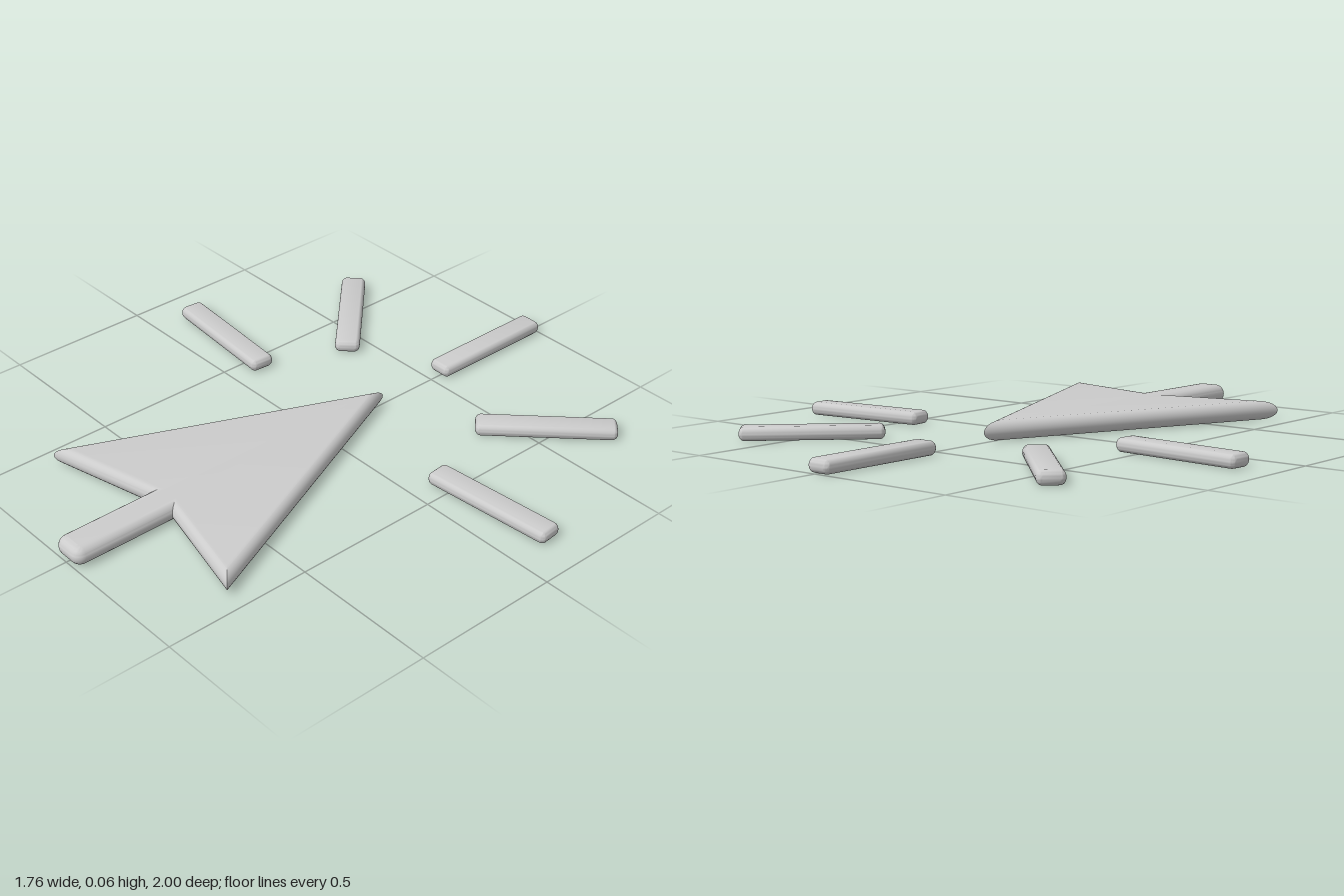
import * as THREE from 'three';
import { mergeVertices, toCreasedNormals } from 'three/addons/utils/BufferGeometryUtils.js';

const STEPS = 12;

// Flat slab from a counter-clockwise outline (x, -z), with rounded, fully mitred edges.
function roundedSlab(shape, height, inset) {
  const raw = shape.getPoints(3);
  const pts = raw.filter((p, i) => p.distanceTo(raw[(i + 1) % raw.length]) > 1e-5);
  const n = pts.length;

  // Inward mitre vector at each corner
  const mitre = pts.map((p, i) => {
    const a = p.clone().sub(pts[(i + n - 1) % n]).normalize();
    const b = pts[(i + 1) % n].clone().sub(p).normalize();
    const sum = new THREE.Vector2(-a.y - b.y, a.x + b.x);
    return sum.divideScalar(1 + a.dot(b));
  });

  // Rings follow a half-ellipse from bottom to top
  const positions = [], index = [];
  let cap = [];
  for (let k = 0; k <= STEPS; k++) {
    const t = (k / STEPS - 0.5) * Math.PI;
    const d = inset * (1 - Math.cos(t));
    const y = (height / 2) * (1 + Math.sin(t));
    cap = pts.map((p, i) => p.clone().addScaledVector(mitre[i], d));
    cap.forEach((p) => positions.push(p.x, y, -p.y));
    if (k === STEPS) break;
    for (let i = 0; i < n; i++) {
      const a = k * n + i, b = k * n + ((i + 1) % n);
      index.push(a, b, b + n, a, b + n, a + n);
    }
  }

  // Top and bottom caps
  for (const [a, b, c] of THREE.ShapeUtils.triangulateShape(cap, [])) {
    const top = STEPS * n;
    index.push(top + a, top + b, top + c, a, c, b);
  }

  const geometry = new THREE.BufferGeometry();
  geometry.setAttribute('position', new THREE.Float32BufferAttribute(positions, 3));
  geometry.setIndex(index);
  return toCreasedNormals(mergeVertices(geometry), 0.5);
}

function barShape(width, length, r) {
  const x = width / 2 - r, y = length / 2 - r, q = Math.PI / 2;
  const s = new THREE.Shape();
  s.absarc(x, y, r, 0, q);
  s.absarc(-x, y, r, q, 2 * q);
  s.absarc(-x, -y, r, 2 * q, 3 * q);
  s.absarc(x, -y, r, 3 * q, 4 * q);
  return s;
}

// Arrowhead with its short stem in one outline
function pointerShape() {
  const w = 0.06, r = 0.034, end = -1, q = Math.PI / 2;
  const s = new THREE.Shape();
  s.moveTo(0, 0.275);
  s.lineTo(-0.437, -0.742);
  s.lineTo(-w, -0.65);
  s.absarc(-w + r, end + r, r, 2 * q, 3 * q);
  s.absarc(w - r, end + r, r, 3 * q, 4 * q);
  s.lineTo(w, -0.65);
  s.lineTo(0.437, -0.742);
  s.lineTo(0, 0.275);
  return s;
}

export function createModel() {
  const model = new THREE.Group();
  const material = new THREE.MeshStandardMaterial({ color: 0xcccccc });

  const pointer = new THREE.Mesh(roundedSlab(pointerShape(), 0.064, 0.03), material);
  pointer.name = 'arrowPointer';
  model.add(pointer);

  // Rays fanned around the tip: name, x, z, turn in degrees
  const rayGeometry = roundedSlab(barShape(0.086, 0.462, 0.019), 0.045, 0.018);
  const rays = [
    ['rayCentre', -0.007, -0.769, 0],
    ['rayDiagonalLeft', 0.474, -0.56, -45],
    ['rayDiagonalRight', -0.476, -0.56, 45],
    ['raySideLeft', 0.647, -0.132, -85],
    ['raySideRight', -0.652, -0.132, 85],
  ];
  for (const [name, x, z, turn] of rays) {
    const ray = new THREE.Mesh(rayGeometry, material);
    ray.name = name;
    ray.position.set(x, 0, z);
    ray.rotation.y = THREE.MathUtils.degToRad(turn);
    model.add(ray);
  }
  return model;
}
